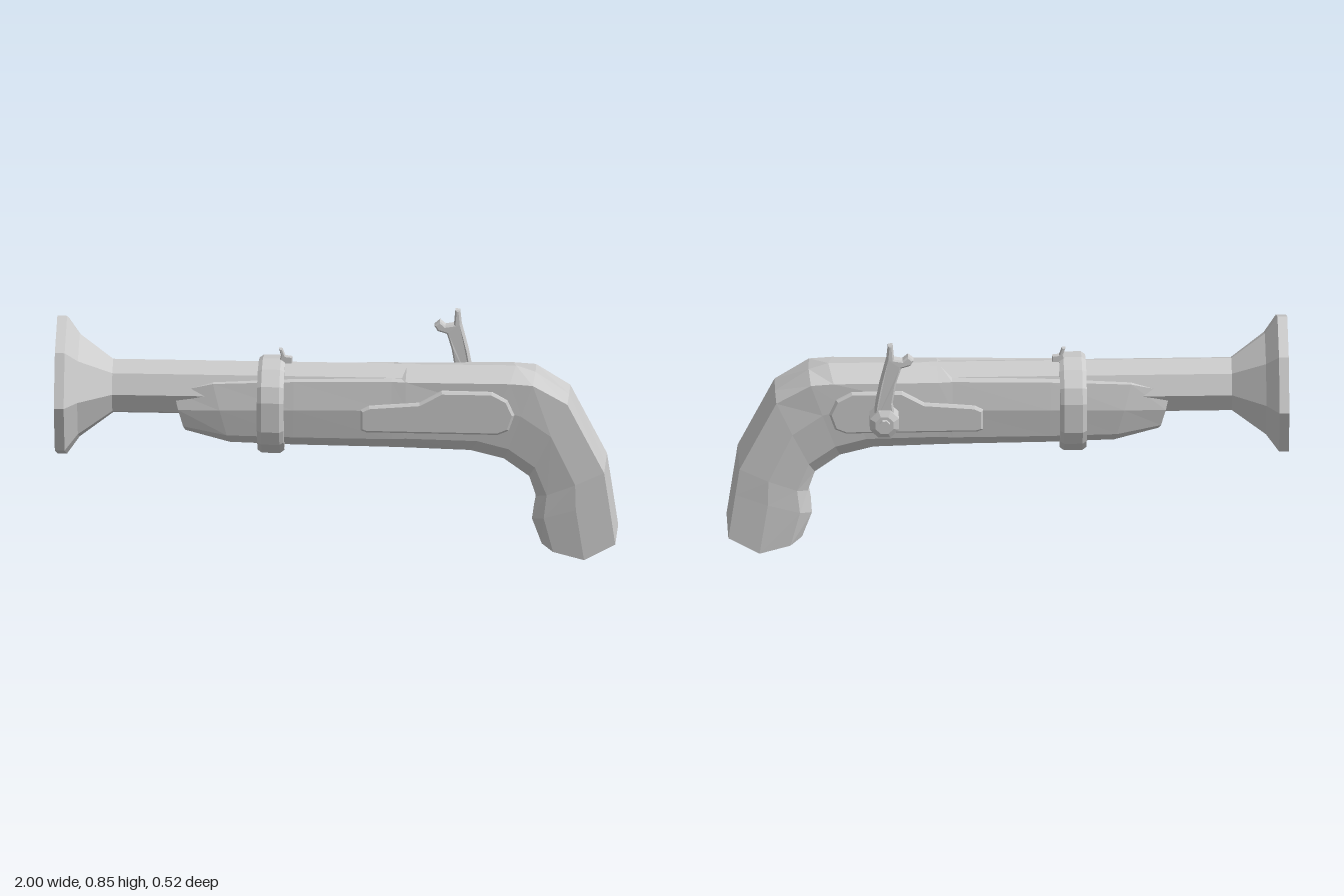
import * as THREE from 'three';

const material = new THREE.MeshStandardMaterial({ color: 0xcccccc, flatShading: true });

function add(group, name, geometry) {
  const mesh = new THREE.Mesh(geometry, material);
  mesh.name = name;
  group.add(mesh);
  return mesh;
}

// Closed ring from a half outline: first point is on the centre plane, the rest are mirrored in z
function mirrorRing(half) {
  const left = half.slice(1).reverse().map(([x, y, z]) => [x, y, -z]);
  return [...half, ...left];
}

// Skin over rings that run towards +x, with both ends capped
function loft(rings) {
  const n = rings[0].length;
  const index = [];
  for (let i = 0; i < rings.length - 1; i++) {
    for (let j = 0; j < n; j++) {
      const a = i * n + j, b = i * n + (j + 1) % n;
      index.push(a, b, b + n, a, b + n, a + n);
    }
  }
  const last = (rings.length - 1) * n;
  for (let j = 0; j < (n - 1) / 2; j++) {
    const quad = [j, j + 1, n - j - 1, (n - j) % n];
    const [a, b, c, d] = quad;
    index.push(a, c, b, last + a, last + b, last + c);
    if (j > 0) index.push(a, d, c, last + a, last + c, last + d);
  }
  const geometry = new THREE.BufferGeometry();
  geometry.setAttribute('position', new THREE.Float32BufferAttribute(rings.flat(2), 3));
  geometry.setIndex(index);
  geometry.computeVertexNormals();
  return geometry;
}

// Flat part with bevelled edges, centred on z = 0
function plate(points, thickness, bevel) {
  const shape = new THREE.Shape(points.map(([x, y]) => new THREE.Vector2(x, y)));
  const geometry = new THREE.ExtrudeGeometry(shape, {
    depth: thickness - 2 * bevel, bevelEnabled: bevel > 0, bevelThickness: bevel,
    bevelSize: bevel, bevelOffset: -bevel, bevelSegments: 1,
  });
  return geometry.translate(0, 0, bevel - thickness / 2);
}

function disc(radius, thickness, x, y, z, sides = 8) {
  return new THREE.CylinderGeometry(radius, radius, thickness, sides)
    .rotateY(Math.PI / sides).rotateX(Math.PI / 2).translate(x, y, z);
}

export function createModel() {
  const group = new THREE.Group();

  // Eight-sided barrel with a flared, hollow muzzle
  const barrelProfile = [
    [0, -0.6], [0.075, -0.6], [0.08, -0.8], [0.165, -0.93], [0.195, -1],
    [0.261, -1], [0.261, -0.965], [0.195, -0.92], [0.101, -0.8], [0.101, 0.28], [0, 0.28],
  ].map(([r, a]) => new THREE.Vector2(r, a));
  add(group, 'barrel', new THREE.LatheGeometry(barrelProfile, 8)
    .rotateZ(-Math.PI / 2).translate(0, 0.594, 0));

  // Stock and curved grip: top x, y, bottom x, y, shoulder width, shoulder depth, side width, side drop
  const stockSections = [
    [-0.58, 0.605, -0.54, 0.45, 0.085, 0.01, 0.1, 0],
    [-0.44, 0.645, -0.38, 0.41, 0.098, 0.02, 0.115, 0],
    [-0.15, 0.66, -0.15, 0.405, 0.105, 0.02, 0.12, 0],
    [0.2, 0.67, 0.2, 0.402, 0.105, 0.03, 0.12, 0],
    [0.25, 0.693, 0.25, 0.401, 0.108, 0.11, 0.12, 0],
    [0.64, 0.695, 0.48, 0.395, 0.118, 0.1, 0.12, 0],
    [0.71, 0.672, 0.6, 0.365, 0.118, 0.04, 0.12, 0],
    [0.83, 0.59, 0.69, 0.3, 0.108, 0.01, 0.12, 0],
    [0.96, 0.33, 0.715, 0.225, 0.107, 0, 0.12, 0],
    [0.975, 0.23, 0.7, 0.14, 0.107, 0, 0.12, 0],
    [1, 0.06, 0.735, 0.045, 0.107, 0, 0.12, 0.05],
  ];
  add(group, 'stock', loft(stockSections.map(([tx, ty, bx, by, shoulder, depth, side, drop]) => {
    const at = (t, z, dy = 0) => [tx + (bx - tx) * t, ty + (by - ty) * t - dy, z];
    return mirrorRing([
      at(0, 0), at(depth, shoulder), at(0.42, side, drop),
      at(0.84, side * 0.88, drop * 0.4), at(1, side * 0.55),
    ]);
  })));

  // Band around barrel and stock, with bevelled rims
  const bandHalf = [[0.706, 0], [0.692, 0.08], [0.645, 0.135], [0.59, 0.156],
    [0.48, 0.156], [0.425, 0.13], [0.375, 0.075]];
  const bandSteps = [[-0.28, 0.94], [-0.265, 1], [-0.2, 1], [-0.185, 0.94]];
  add(group, 'barrelBand', loft(bandSteps.map(([x, s]) =>
    mirrorRing(bandHalf.map(([y, z]) => [x, 0.54 + (y - 0.54) * s, z * s])))));

  // Small sight on the band
  add(group, 'sight', plate([[-0.21, 0.68], [-0.16, 0.68], [-0.16, 0.715], [-0.185, 0.718],
    [-0.195, 0.745], [-0.207, 0.745], [-0.2, 0.72]], 0.018, 0.003));

  // Plates on both sides of the stock
  const plateOutline = [[0.09, 0.485], [0.11, 0.477], [0.58, 0.475], [0.62, 0.492], [0.64, 0.55],
    [0.615, 0.605], [0.56, 0.635], [0.38, 0.635], [0.3, 0.59], [0.12, 0.575], [0.09, 0.56]];
  for (const side of [1, -1]) {
    add(group, side > 0 ? 'leftPlate' : 'rightPlate',
      plate(plateOutline, 0.05, 0.008).translate(0, 0, side * 0.109));
  }

  // Hammer with pivot boss and screw on the right side
  const hammer = new THREE.Group();
  hammer.name = 'hammer';
  const arm = plate([[0.405, 0.54], [0.485, 0.54], [0.475, 0.62], [0.462, 0.69], [0.447, 0.75],
    [0.437, 0.79], [0.432, 0.842], [0.415, 0.845], [0.41, 0.79], [0.38, 0.785], [0.36, 0.802],
    [0.34, 0.785], [0.352, 0.765], [0.385, 0.755], [0.402, 0.7], [0.415, 0.62]], 0.046, 0.006);
  const pos = arm.attributes.position;
  for (let i = 0; i < pos.count; i++) {
    const taper = THREE.MathUtils.clamp((pos.getY(i) - 0.66) / 0.19, 0, 1);
    pos.setZ(i, pos.getZ(i) * (1 - 0.45 * taper * taper));
  }
  add(hammer, 'hammerArm', arm.translate(0, 0, -0.17));
  add(hammer, 'hammerBoss', disc(0.056, 0.065, 0.445, 0.543, -0.167));
  add(hammer, 'hammerBossRim', new THREE.CylinderGeometry(0.056, 0.035, 0.012, 8)
    .rotateY(Math.PI / 8).rotateX(Math.PI / 2).translate(0.445, 0.543, -0.2055));
  add(hammer, 'hammerScrew', disc(0.02, 0.02, 0.445, 0.547, -0.216));
  group.add(hammer);

  return group;
}
